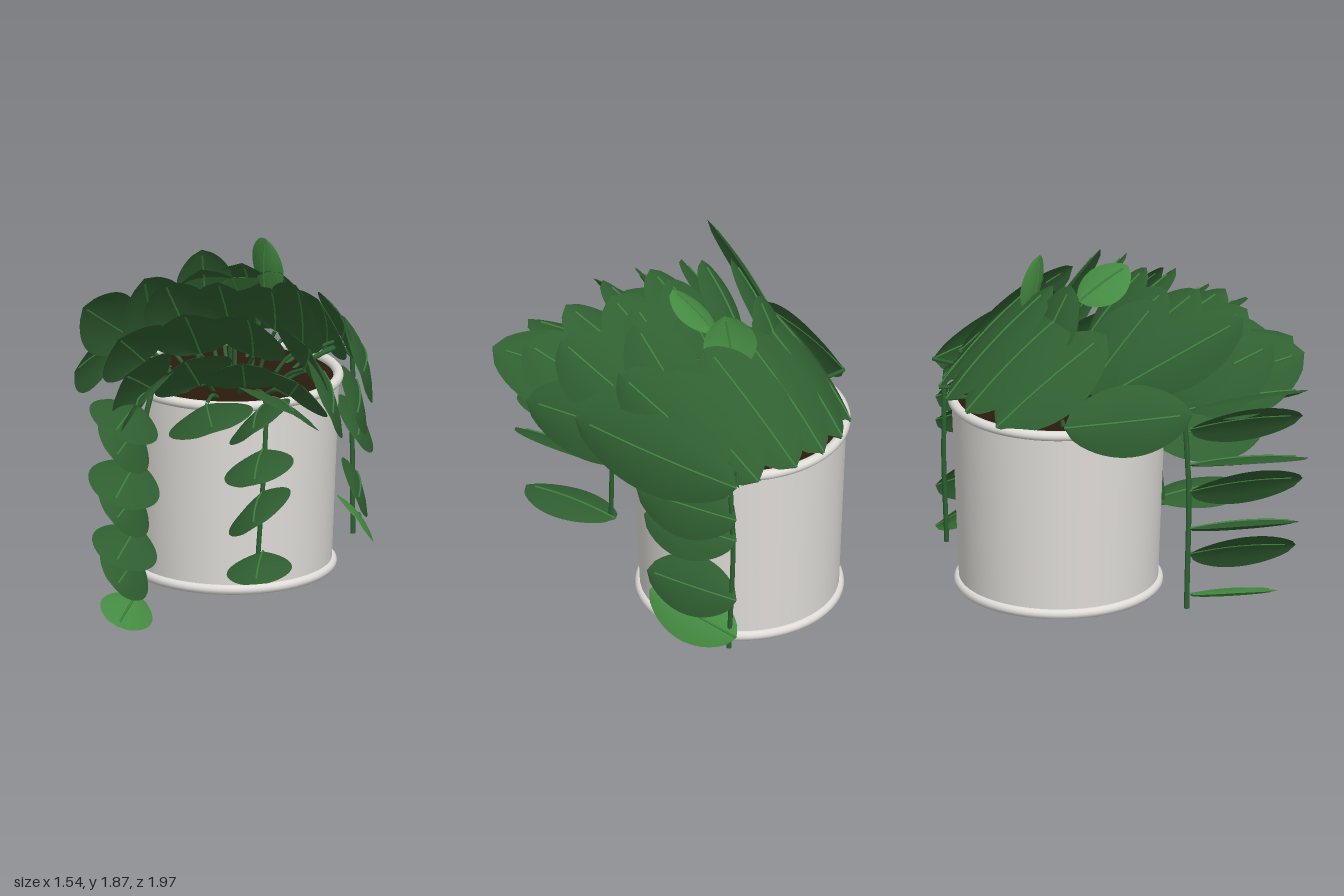
import * as THREE from 'three';

const mat = (name, color, side = THREE.FrontSide) => {
  const m = new THREE.MeshStandardMaterial({ color, side });
  m.name = name;
  return m;
};

export function createModel() {
  const plant = new THREE.Group();
  plant.name = 'pottedPlant';
  const potMat = mat('potCeramic', 0xe0ddd9, THREE.DoubleSide);
  const soilMat = mat('soil', 0x291b0c);
  const leafMat = mat('leafGreen', 0x306031, THREE.DoubleSide);
  const youngMat = mat('youngLeafGreen', 0x458c42, THREE.DoubleSide);
  const ribMat = mat('midribGreen', 0x418340);
  const stemMat = mat('stemGreen', 0x2d6231);

  const V = (a) => new THREE.Vector3(...a);
  const add = (name, geometry, material, parent) => {
    const m = new THREE.Mesh(geometry, material);
    m.name = name;
    parent.add(m);
    return m;
  };
  const tube = (name, pts, r, material, parent) =>
    add(name, new THREE.TubeGeometry(new THREE.CatmullRomCurve3(pts), 12, r, 6), material, parent);

  // Pot: tapered open wall with rolled rims
  const potX = 0.01, potZ = -0.37;
  const pot = new THREE.Group();
  pot.name = 'pot';
  pot.position.set(potX, 0, potZ);
  plant.add(pot);
  add('potWall', new THREE.CylinderGeometry(0.56, 0.52, 1.02, 64, 1, true), potMat, pot).position.y = 0.63;
  for (const [name, y, r] of [['topRim', 1.14, 0.555], ['bottomRim', 0.125, 0.52]]) {
    const rim = add(name, new THREE.TorusGeometry(r, 0.027, 12, 64), potMat, pot);
    rim.rotation.x = Math.PI / 2;
    rim.position.y = y;
  }
  add('soil', new THREE.CylinderGeometry(0.545, 0.545, 0.04, 48), soilMat, pot).position.y = 1.11;

  // Leaf: cupped oval blade from base to tip, facing n, with a midrib
  function leaf(base, tip, n, width, material) {
    const g = new THREE.Group();
    g.name = 'leaf';
    plant.add(g);
    const dir = tip.clone().sub(base), len = dir.length();
    dir.normalize();
    const side = new THREE.Vector3().crossVectors(n, dir).normalize();
    const up = new THREE.Vector3().crossVectors(dir, side);
    const at = (u, s) => {
      const half = 0.5 * width * Math.pow(Math.max(0, Math.sin(Math.PI * u)), 0.58);
      const lift = len * 0.14 * u * (1 - u) - 0.2 * half * s * s;
      return base.clone().addScaledVector(dir, u * len)
        .addScaledVector(side, s * half).addScaledVector(up, lift);
    };
    const pos = [], idx = [], NU = 18, NS = 6;
    for (let i = 0; i <= NU; i++) {
      for (let j = 0; j <= NS; j++) {
        pos.push(...at(i / NU, (j / NS) * 2 - 1).toArray());
        if (i < NU && j < NS) {
          const a = i * (NS + 1) + j, c = a + NS + 1;
          idx.push(a, c, a + 1, a + 1, c, c + 1);
        }
      }
    }
    const geo = new THREE.BufferGeometry();
    geo.setAttribute('position', new THREE.Float32BufferAttribute(pos, 3));
    geo.setIndex(idx);
    geo.computeVertexNormals();
    add('blade', geo, material, g);
    tube('midrib', [0, 0.3, 0.6, 0.9].map((u) => at(u, 0).addScaledVector(up, 0.002)), 0.006, ribMat, g);
    return g;
  }

  // Crown leaf: by default leans outward with distance from the middle; petiole from the soil
  const outward = (tip, middle = 0) =>
    new THREE.Vector3(1.5 * (tip.x - middle), 1 - 0.8 * Math.abs(tip.x), -0.4);
  function crownLeaf(base, tip, width, material = leafMat, n = outward(tip)) {
    const g = leaf(base, tip, n, width, material);
    const root = new THREE.Vector3(potX, 1.12, potZ).lerp(base, 0.55).setY(1.12);
    const mid = root.clone().lerp(base, 0.5);
    mid.y += 0.03;
    tube('petiole', [root, mid, base], 0.011, stemMat, g);
  }

  // Rows: centre base and tip, sideways spread, change towards the ends, and where the lean turns over
  const rows = [
    { count: 5, base: [0.06, 1.2, -0.98], tip: [0.06, 1.75, -0.38], bx: 0.38, tx: 0.42, dy: -0.14, dz: 0.13, width: 0.42, middle: 0 }, // back
    { count: 2, base: [0, 1.3, -0.37], tip: [0, 1.77, 0.02], bx: 0.38, tx: 0.4, dy: 0, dz: 0, width: 0.38, middle: 0 }, // upper sides
    { count: 3, base: [0.02, 1.45, -0.2], tip: [0, 1.8, 0.12], bx: 0.24, tx: 0.28, dy: -0.02, dz: 0, width: 0.34, middle: 0 }, // top front
    { count: 4, base: [0.02, 1.34, -0.1], tip: [0.02, 1.71, 0.35], bx: 0.42, tx: 0.5, dy: -0.15, dz: 0.07, width: 0.42, middle: 0 }, // inner front
    { count: 4, base: [0.02, 1.22, 0.08], tip: [0.05, 1.54, 0.64], bx: 0.36, tx: 0.46, dy: -0.1, dz: 0.03, width: 0.44, middle: 0.25 }, // middle front
    { count: 3, base: [-0.04, 1.17, 0.25], tip: [0.1, 1.25, 0.98], bx: 0.3, tx: 0.42, dy: 0.08, dz: -0.1, width: 0.46, middle: 0.35 }, // outer front
  ];
  for (const { count, base, tip, bx, tx, dy, dz, width, middle } of rows) {
    for (let i = 0; i < count; i++) {
      const s = (2 * i) / (count - 1) - 1, e = s * s;
      const b = V(base).add(new THREE.Vector3(bx * s, dy * 0.3 * e, dz * e));
      const t = V(tip).add(new THREE.Vector3(tx * s, dy * e, dz * e));
      crownLeaf(b, t, width, leafMat, outward(t, middle));
    }
  }

  // Single leaves at the sides and the top
  crownLeaf(V([0.61, 1.2, -0.84]), V([0.76, 1.32, 0.13]), 0.46);
  crownLeaf(V([0.54, 1.25, -0.72]), V([0.62, 1.6, -0.05]), 0.42);
  crownLeaf(V([0.5, 1.2, -0.3]), V([0.66, 1.21, 0.54]), 0.44);
  crownLeaf(V([-0.6, 1.22, -0.58]), V([-0.76, 1.26, 0.08]), 0.38);
  crownLeaf(V([-0.5, 1.35, -0.25]), V([-0.67, 1.72, 0.4]), 0.36);
  crownLeaf(V([-0.15, 1.4, -0.55]), V([-0.15, 1.82, -0.36]), 0.3);
  crownLeaf(V([0.05, 1.64, -0.24]), V([0.06, 1.8, 0.04]), 0.28, youngMat, V([-0.4, 1, -0.5]));
  crownLeaf(V([0.17, 1.56, -0.47]), V([0.18, 1.88, -0.41]), 0.28, youngMat, V([-1, 0.1, 1]));

  // Trailing stem: leaves reach forward, each given as height, sideways lean, length, rise
  function trail(path, [x, z], shift, leaves) {
    tube('trailingStem', path.map(V), 0.014, stemMat, plant);
    for (const [y, lean, len, rise] of leaves) {
      const tip = new THREE.Vector3(x + shift, y + rise, z + len);
      leaf(new THREE.Vector3(x, y, z), tip, new THREE.Vector3(lean, 1, 0), 0.6 * len, y < 0.3 ? youngMat : leafMat);
    }
  }
  trail([[-0.25, 1.13, -0.05], [-0.34, 1.2, 0.15], [-0.38, 0.85, 0.2], [-0.42, 0.03, 0.18]], [-0.41, 0.2], -0.04, [
    [1.14, 0.5, 0.65, 0.03], [1.03, 1.1, 0.62, 0], [0.83, 0.4, 0.65, -0.04], [0.68, 1.1, 0.62, 0],
    [0.47, 0.45, 0.6, -0.03], [0.33, 1.1, 0.58, -0.02], [0.1, 0.45, 0.48, -0.03]]);
  trail([[0.2, 1.13, -0.05], [0.26, 1.18, 0.15], [0.27, 0.95, 0.25], [0.24, 0.35, 0.31]], [0.26, 0.26], 0.04, [
    [1.18, -0.7, 0.64, 0.05], [0.94, -0.25, 0.62, 0], [0.71, -0.65, 0.64, 0], [0.38, -0.1, 0.57, 0]]);
  trail([[0.35, 1.13, -0.65], [0.56, 1.2, -0.76], [0.58, 0.8, -0.79], [0.59, 0.17, -0.77]], [0.6, -0.83], 0.08, [
    [0.99, 2.4, 0.61, -0.01], [0.86, 1.4, 0.56, -0.02], [0.49, 2.2, 0.54, 0.01], [0.26, 1.2, 0.52, 0.13]]);
  return plant;
}
